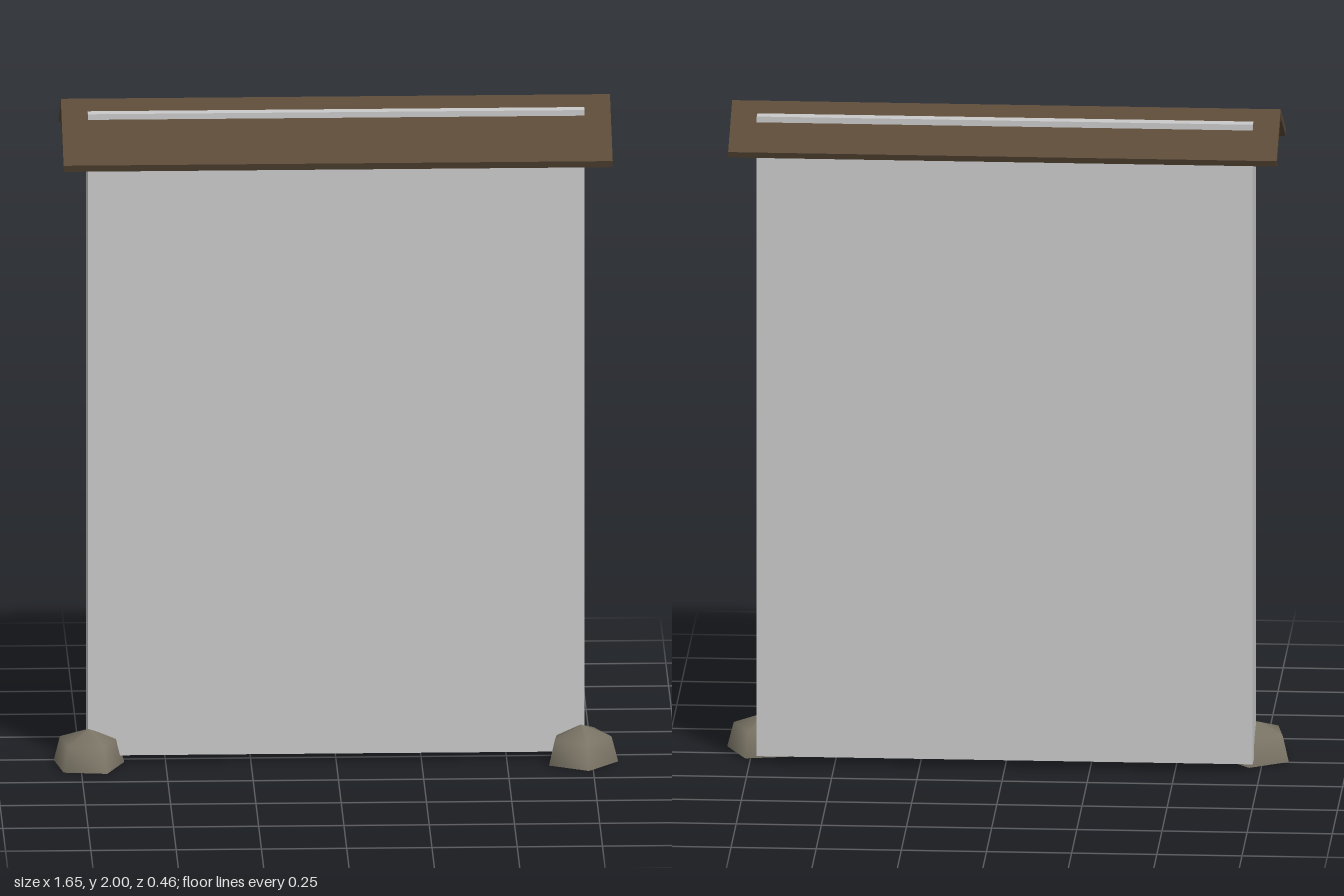
import * as THREE from 'three';

export function createModel() {
  const model = new THREE.Group();
  const panelGrey = new THREE.MeshStandardMaterial({ name: 'panelGrey', color: 0xcacaca });
  const roofBrown = new THREE.MeshStandardMaterial({ name: 'roofBrown', color: 0x5c4a38 });
  const stoneGrey = new THREE.MeshStandardMaterial({ name: 'stoneGrey', color: 0x7a7465 });

  const add = (parent, name, geometry, material) => {
    const mesh = new THREE.Mesh(geometry, material);
    mesh.name = name;
    parent.add(mesh);
    return mesh;
  };

  // Upright slab; its top edges poke through the roof
  add(model, 'wallPanel', new THREE.BoxGeometry(1.456, 1.95, 0.165), panelGrey)
    .position.set(0, 1.0, -0.033);

  // Gabled roof: chevron section as [z, y], longer slope at the front
  const section = [
    [0.226, 1.868], [-0.033, 2.0], [-0.23, 1.898],
    [-0.221, 1.879], [-0.033, 1.976], [0.217, 1.847],
  ];
  const chevron = new THREE.Shape(section.map(([z, y]) => new THREE.Vector2(-z, y)));
  const roof = new THREE.ExtrudeGeometry(chevron, { depth: 1.61, bevelEnabled: false });
  roof.rotateY(Math.PI / 2).translate(-0.805, 0, 0);
  add(model, 'roof', roof, roofBrown);

  // Five-sided foot stones, each turned differently
  const lathe = (points, angle) => new THREE.LatheGeometry(
    points.map(([r, y]) => new THREE.Vector2(r, y)), 5, THREE.MathUtils.degToRad(90 - angle));
  const addStone = (name, x, angle) => {
    const stone = new THREE.Group();
    stone.name = name;
    add(stone, 'stoneDome', lathe([[1, 0], [0.82, 0.075], [0, 0.108]], angle), stoneGrey);
    add(stone, 'stoneBase', lathe([[0, 0], [1, 0]], angle), stoneGrey);
    stone.scale.set(0.109, 1, 0.122);
    stone.position.set(x, 0, 0.055);
    model.add(stone);
  };
  addStone('leftStone', 0.718, 8);
  addStone('rightStone', -0.728, 205);

  return model;
}
